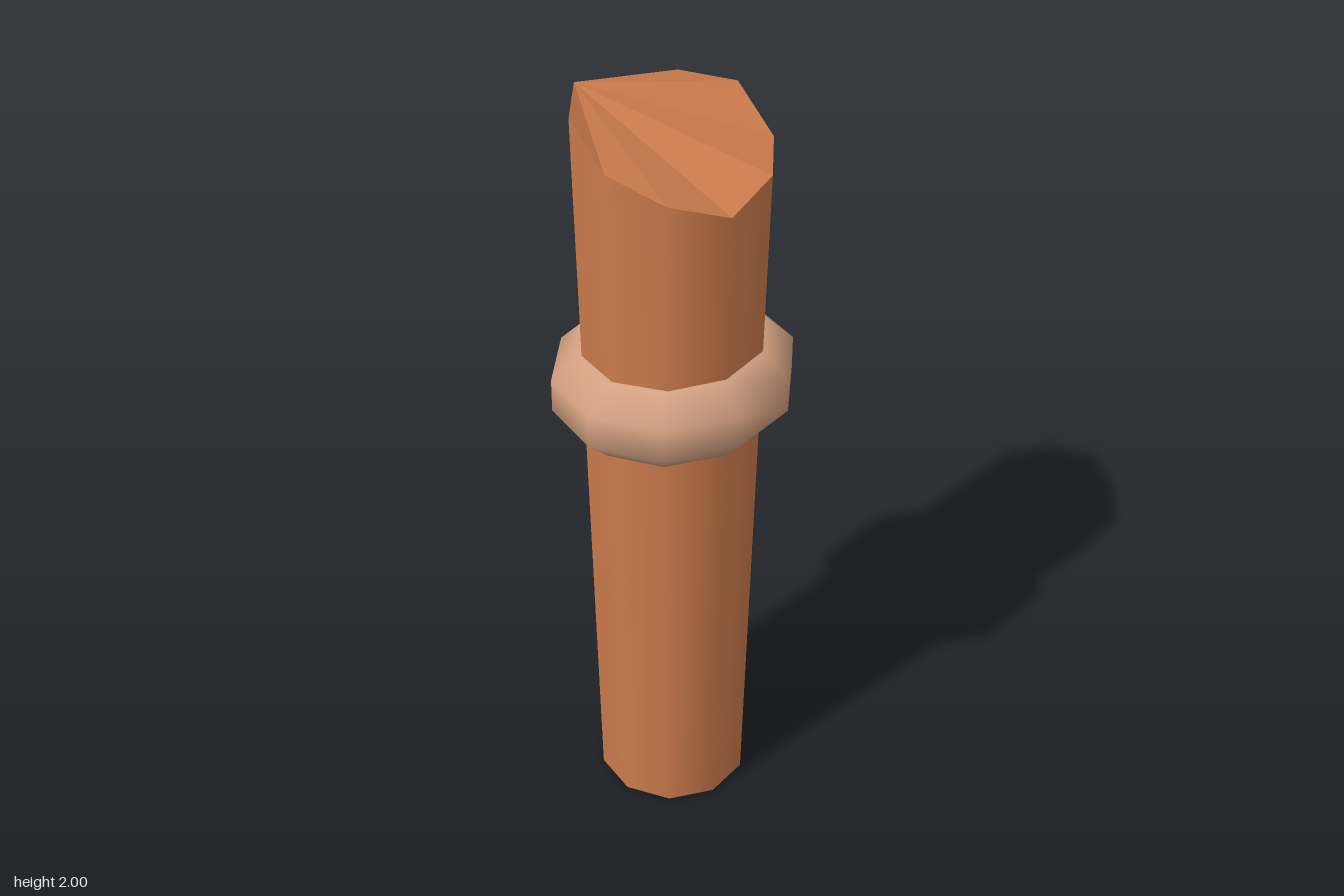
import * as THREE from 'three';

const SIDES = 10;
const rad = THREE.MathUtils.degToRad;

export function createModel() {
  const model = new THREE.Group();
  const terracotta = new THREE.MeshStandardMaterial({ color: 0xcd7c4c });
  const paleTan = new THREE.MeshStandardMaterial({ color: 0xd2a080 });
  const add = (name, geometry, material) => {
    const mesh = new THREE.Mesh(geometry, material);
    mesh.name = name;
    model.add(mesh);
  };

  // tapering stalk whose rim follows the slanted, broken top
  const rimHeights = [1.875, 1.95, 1.95, 1.95, 2.0, 1.99, 1.92, 1.87, 1.82, 1.86];
  const stalk = new THREE.CylinderGeometry(0.236, 0.195, 2, SIDES, 1, true, rad(87));
  stalk.translate(0, 1, 0);
  const pos = stalk.attributes.position;
  for (let i = 0; i <= SIDES; i++) pos.setY(i, rimHeights[i % SIDES]);
  add('stalk', stalk, terracotta);

  // flat facets closing the top, fanned from one rim corner
  const rim = (i) => new THREE.Vector3().fromBufferAttribute(pos, i % SIDES);
  const facet = (apex, first, count) => {
    const points = [];
    for (let i = first; i < first + count; i++) points.push(rim(apex), rim(i), rim(i + 1));
    const geometry = new THREE.BufferGeometry().setFromPoints(points);
    geometry.computeVertexNormals();
    return geometry;
  };
  add('frontCutFace', facet(4, 5, 6), terracotta);
  add('backCutFace', facet(4, 1, 2), terracotta);

  // underside
  const base = new THREE.CircleGeometry(0.195, SIDES, rad(3));
  base.rotateX(Math.PI / 2);
  add('base', base, terracotta);

  // swollen joint: octagonal section swept round the stalk, slightly tilted
  const section = [];
  for (let i = 0; i <= 8; i++) {
    const a = rad(-157.5 + i * 45);
    section.push(new THREE.Vector2(0.189 + 0.116 * Math.cos(a), 0.116 * Math.sin(a)));
  }
  const joint = new THREE.LatheGeometry(section, SIDES, rad(84.5));
  const jp = joint.attributes.position;
  for (let i = 0; i < jp.count; i++) {
    jp.setY(i, jp.getY(i) + 1.26 + 0.055 * jp.getX(i) + 0.045 * jp.getZ(i));
  }
  add('jointRing', joint, paleTan);

  return model;
}
